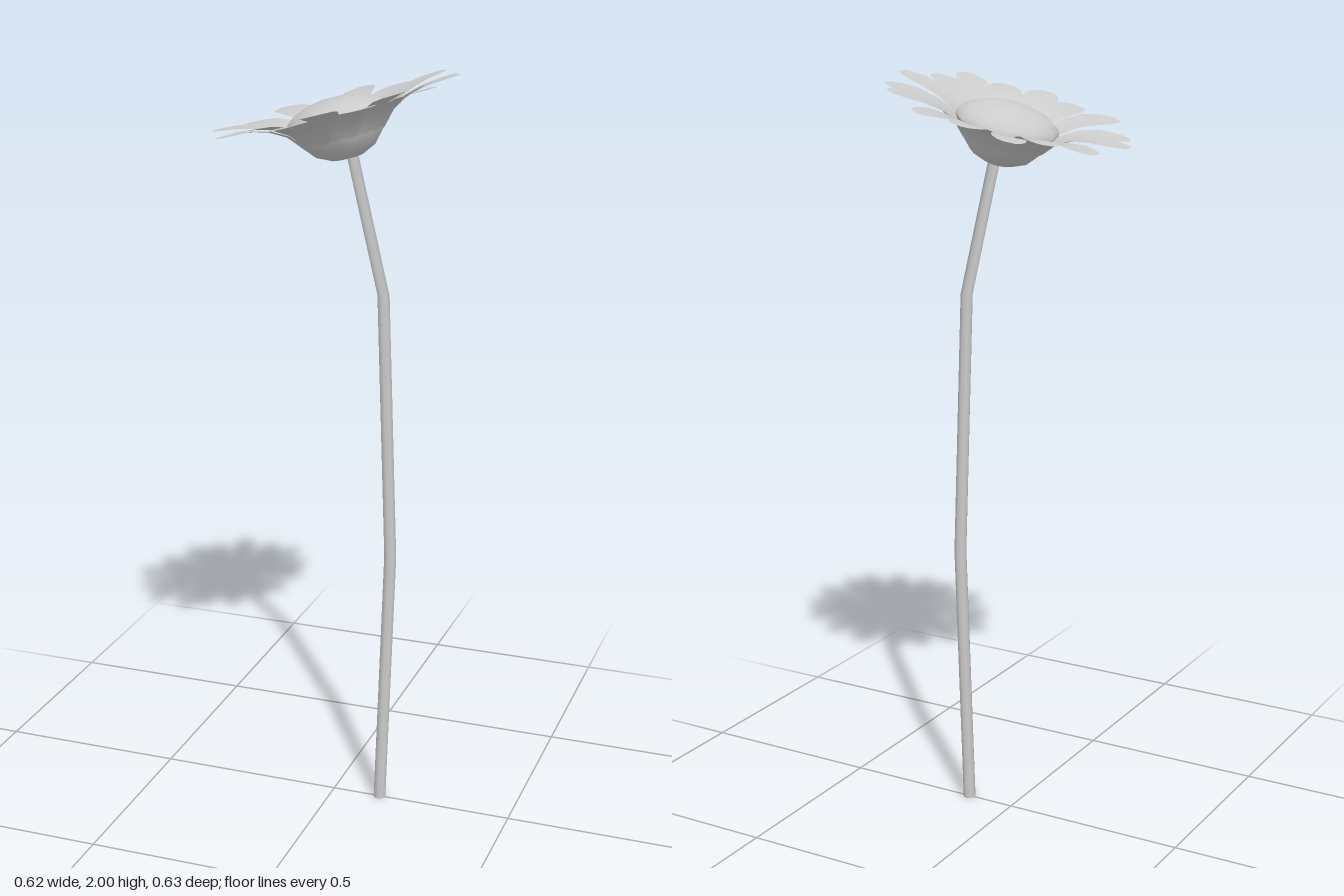
import * as THREE from 'three';

const material = new THREE.MeshStandardMaterial({ color: 0xcccccc, side: THREE.DoubleSide });

function addMesh(parent, name, geometry) {
  const mesh = new THREE.Mesh(geometry, material);
  mesh.name = name;
  parent.add(mesh);
  return mesh;
}

// Stem: a cylinder whose rings are moved onto the bend points [x, y]
function stemGeometry() {
  const bends = [[0.133, 0], [0.157, 0.72], [0.132, 1.43], [0.045, 1.795]];
  const geometry = new THREE.CylinderGeometry(0.016, 0.017, 1, 8, bends.length - 1);
  const pos = geometry.attributes.position;
  for (let i = 0; i < pos.count; i++) {
    const [x, y] = bends[Math.round((pos.getY(i) + 0.5) * (bends.length - 1))];
    pos.setX(i, pos.getX(i) + x);
    pos.setY(i, y);
  }
  return geometry;
}

function lathe(profile) {
  return new THREE.LatheGeometry(profile.map(([r, y]) => new THREE.Vector2(r, y)), 12);
}

// Petal along +x: rows of [fraction of length, height, half width], slightly channelled
function petalGeometry(length, lift) {
  const base = 0.108;
  const rows = [[0, -0.042, 0.024], [0.14, -0.008, 0.03], [0.35, 0.018, 0.037], [0.6, 0.032, 0.044],
    [0.8, 0.037, 0.042], [0.94, 0.039, 0.029], [1, 0.04, 0.014]];
  const geometry = new THREE.PlaneGeometry(1, 1, 2, rows.length - 1);
  const pos = geometry.attributes.position;
  for (let i = 0; i < pos.count; i++) {
    const [t, h, w] = rows[Math.floor(i / 3)];
    const side = 1 - (i % 3);
    pos.setXYZ(i, base + (length - base) * t, h + lift * t + 0.005 * Math.abs(side) * (1 - t), side * w);
  }
  geometry.computeVertexNormals();
  return geometry;
}

export function createModel() {
  const flower = new THREE.Group();
  flower.name = 'flower';
  addMesh(flower, 'stem', stemGeometry());

  // Flower head, tilted with the top of the stem
  const tilt = 0.262;
  const head = new THREE.Group();
  head.name = 'flowerHead';
  head.position.set(0.012, 1.868, 0);
  head.rotation.z = tilt;
  flower.add(head);

  addMesh(head, 'cup', lathe([[0, -0.097], [0.04, -0.094], [0.078, -0.076], [0.108, -0.042], [0.125, -0.008], [0.134, 0.006]]));
  addMesh(head, 'centreDisc', lathe([[0.134, 0.006], [0.129, 0.02], [0.108, 0.036], [0.075, 0.049], [0.038, 0.056], [0, 0.058]]));

  // Ring of petals, placed by where each tip falls [x, z]
  const tips = [[-0.03, -0.316], [0.095, -0.295], [0.21, -0.24], [0.278, -0.14],
    [0.309, -0.02], [0.288, 0.118], [0.247, 0.188], [0.165, 0.265],
    [0.055, 0.298], [-0.03, 0.313], [-0.16, 0.273], [-0.253, 0.165],
    [-0.31, 0.037], [-0.285, -0.092], [-0.215, -0.205], [-0.14, -0.255]];
  const petals = new THREE.Group();
  petals.name = 'petals';
  head.add(petals);
  tips.forEach(([x, z], i) => {
    const localX = (x - head.position.x + 0.04 * Math.sin(tilt)) / Math.cos(tilt);
    const lift = i % 2 ? -0.006 : 0.006;
    const petal = addMesh(petals, 'petal', petalGeometry(Math.hypot(localX, z), lift));
    petal.rotation.y = -Math.atan2(z, localX);
  });
  return flower;
}
